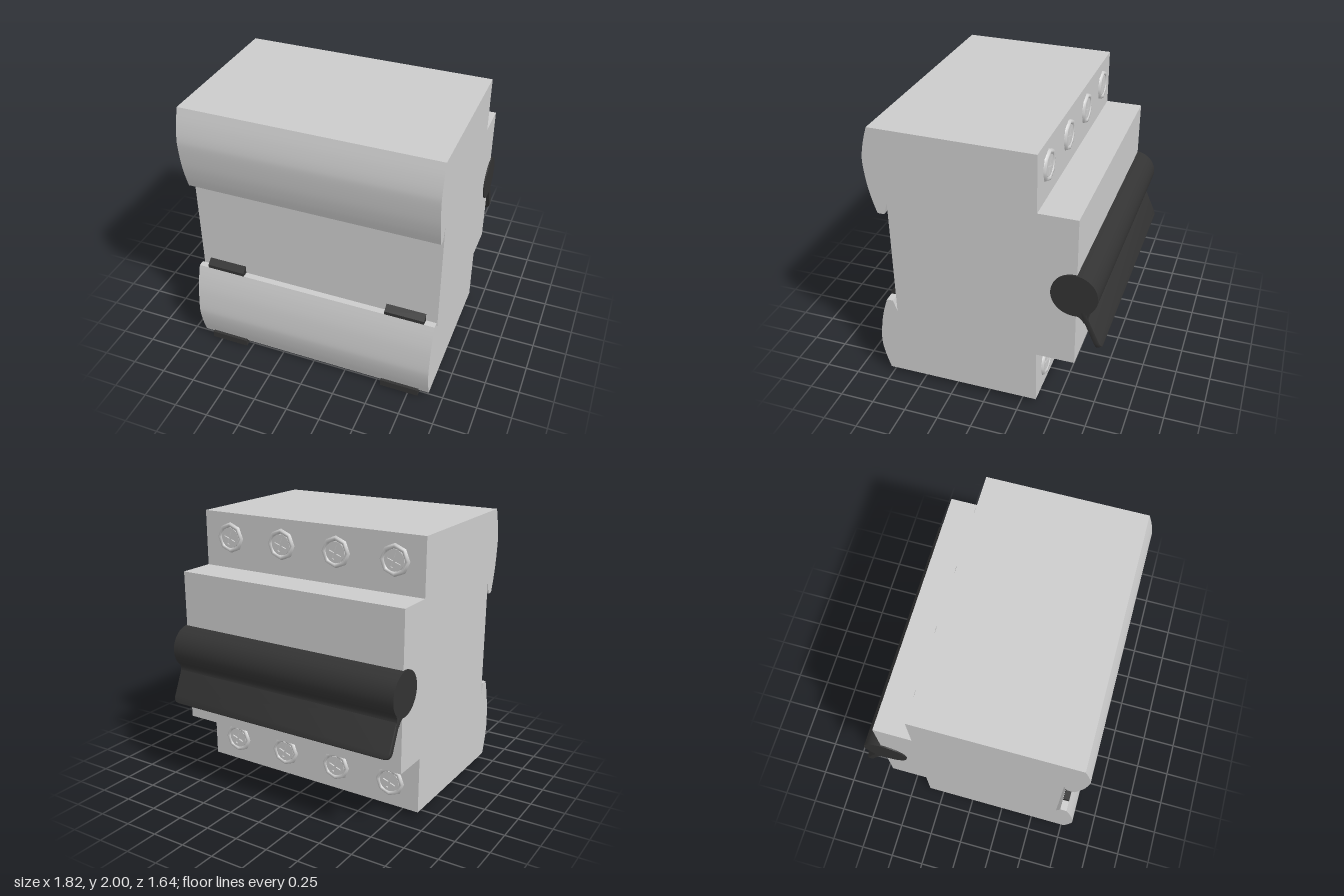
import * as THREE from 'three';
import { toCreasedNormals } from 'three/addons/utils/BufferGeometryUtils.js';

const grey = new THREE.MeshStandardMaterial({ color: 0xcccccc });
const dark = new THREE.MeshStandardMaterial({ color: 0x333333 });
const V = (z, y) => new THREE.Vector2(-z, y);

function add(parent, name, geometry, material) {
  const mesh = new THREE.Mesh(geometry, material);
  mesh.name = name;
  parent.add(mesh);
  return mesh;
}

// Extrude a side profile (shape x = -z, shape y = y) across the width from x0 to x1
function across(shape, x0, x1) {
  const g = new THREE.ExtrudeGeometry(shape, { depth: x1 - x0, bevelEnabled: false, curveSegments: 5 });
  g.rotateY(Math.PI / 2).translate(x0, 0, 0);
  return toCreasedNormals(g, 0.5);
}

// Housing profile: bulged lips, rail recess, stepped face
function housingShape() {
  const lip = [[0.77, 2], [0.8, 1.9], [0.82, 1.8], [0.822, 1.72], [0.805, 1.58], [0.78, 1.47], [0.75, 1.375]];
  const flip = y => 2.035 - y;
  const s = new THREE.Shape();
  s.moveTo(-0.77, 2);
  s.splineThru(lip.slice(1).map(([z, y]) => V(z, y)));
  for (const [z, y] of [[0.703, 1.375], [0.675, 1.46], [0.675, flip(1.46)], [0.703, flip(1.375)], [0.75, flip(1.375)]]) s.lineTo(-z, y);
  s.splineThru(lip.slice(0, -1).reverse().map(([z, y]) => V(z, flip(y))));
  for (const [z, y] of [[-0.36, 0.042], [-0.36, 0.455], [-0.63, 0.455], [-0.63, 1.585], [-0.36, 1.585], [-0.36, 1.99]]) s.lineTo(-z, y);
  s.closePath();
  return s;
}

// Terminal screw: octagonal collar and a head with a cross slot, facing -z
function makeScrew() {
  const screw = new THREE.Group();
  screw.name = 'terminalScrew';
  const collar = new THREE.LatheGeometry([
    [0.078, 0], [0.082, 0.014], [0.092, 0.018], [0.104, 0.017], [0.112, 0],
  ].map(p => new THREE.Vector2(...p)).reverse(), 8);
  collar.rotateX(-Math.PI / 2);
  add(screw, 'screwCollar', collar, new THREE.MeshStandardMaterial({ color: 0xcccccc, side: THREE.DoubleSide }));

  const head = new THREE.Shape().absarc(0, 0, 0.074, 0, Math.PI * 2);
  const a = 0.052, b = 0.009;
  const slot = [[a, b], [b, b], [b, a], [-b, a], [-b, b], [-a, b], [-a, -b], [-b, -b], [-b, -a], [b, -a], [b, -b], [a, -b]];
  head.holes.push(new THREE.Path(slot.map(p => new THREE.Vector2(...p))));
  const g = new THREE.ExtrudeGeometry(head, { depth: 0.012, bevelEnabled: false, curveSegments: 12 });
  g.rotateY(Math.PI).rotateZ(0.35);
  add(screw, 'screwHead', toCreasedNormals(g, 0.6), grey);
  return screw;
}

// Tie-bar lever: barrel, neck fillet and a slanted blade with rounded corners
function makeLever() {
  const lever = new THREE.Group();
  lever.name = 'lever';
  const w = 0.91;
  const barrel = new THREE.CylinderGeometry(0.16, 0.16, 2 * w, 40).rotateZ(Math.PI / 2);
  add(lever, 'leverBarrel', barrel, dark).position.set(0, 1.02, -0.615);

  const neck = new THREE.Shape();
  neck.moveTo(0.6, 0.9);
  neck.lineTo(0.61, 0.864);
  neck.quadraticCurveTo(0.665, 0.865, 0.685, 0.815);
  neck.lineTo(0.725, 0.832);
  neck.quadraticCurveTo(0.7, 0.88, 0.735, 0.915);
  neck.lineTo(0.7, 0.95);
  neck.closePath();
  add(lever, 'leverNeck', across(neck, -w + 0.002, w - 0.002), dark);

  const len = 0.3, r = 0.05;
  const blade = new THREE.Shape();
  blade.moveTo(-w, 0);
  blade.lineTo(-w, -len + r);
  blade.quadraticCurveTo(-w, -len, -w + r, -len);
  blade.lineTo(w - r, -len);
  blade.quadraticCurveTo(w, -len, w, -len + r);
  blade.lineTo(w, 0);
  blade.closePath();
  const g = new THREE.ExtrudeGeometry(blade, {
    depth: 0.025, bevelThickness: 0.008, bevelSize: 0.008, bevelOffset: -0.008, bevelSegments: 2, curveSegments: 6,
  });
  g.translate(0, 0, -0.0125).rotateX(0.42);
  add(lever, 'leverBlade', toCreasedNormals(g, 0.6), dark).position.set(0, 0.897, -0.676);
  return lever;
}

export function createModel() {
  const model = new THREE.Group();
  model.name = 'circuitBreaker';
  add(model, 'housing', across(housingShape(), -0.9, 0.9), grey);

  // Two rows of four screws
  for (const y of [1.81, 0.225]) {
    for (let i = 0; i < 4; i++) {
      const screw = makeScrew();
      screw.position.set(-0.675 + i * 0.45, y, -0.36);
      model.add(screw);
    }
  }
  model.add(makeLever());

  // Rail clips: wedge at the recess, foot below
  const wedge = new THREE.Shape([V(0.75, 0.64), V(0.705, 0.64), V(0.705, 0.72), V(0.75, 0.685)]);
  const foot = new THREE.Shape([V(0.797, 0), V(0.705, 0), V(0.705, 0.05), V(0.797, 0.05)]);
  for (const x0 of [-0.825, 0.54]) {
    add(model, 'railClipWedge', across(wedge, x0, x0 + 0.285), dark);
    add(model, 'railClipFoot', across(foot, x0, x0 + 0.285), dark);
  }
  return model;
}
